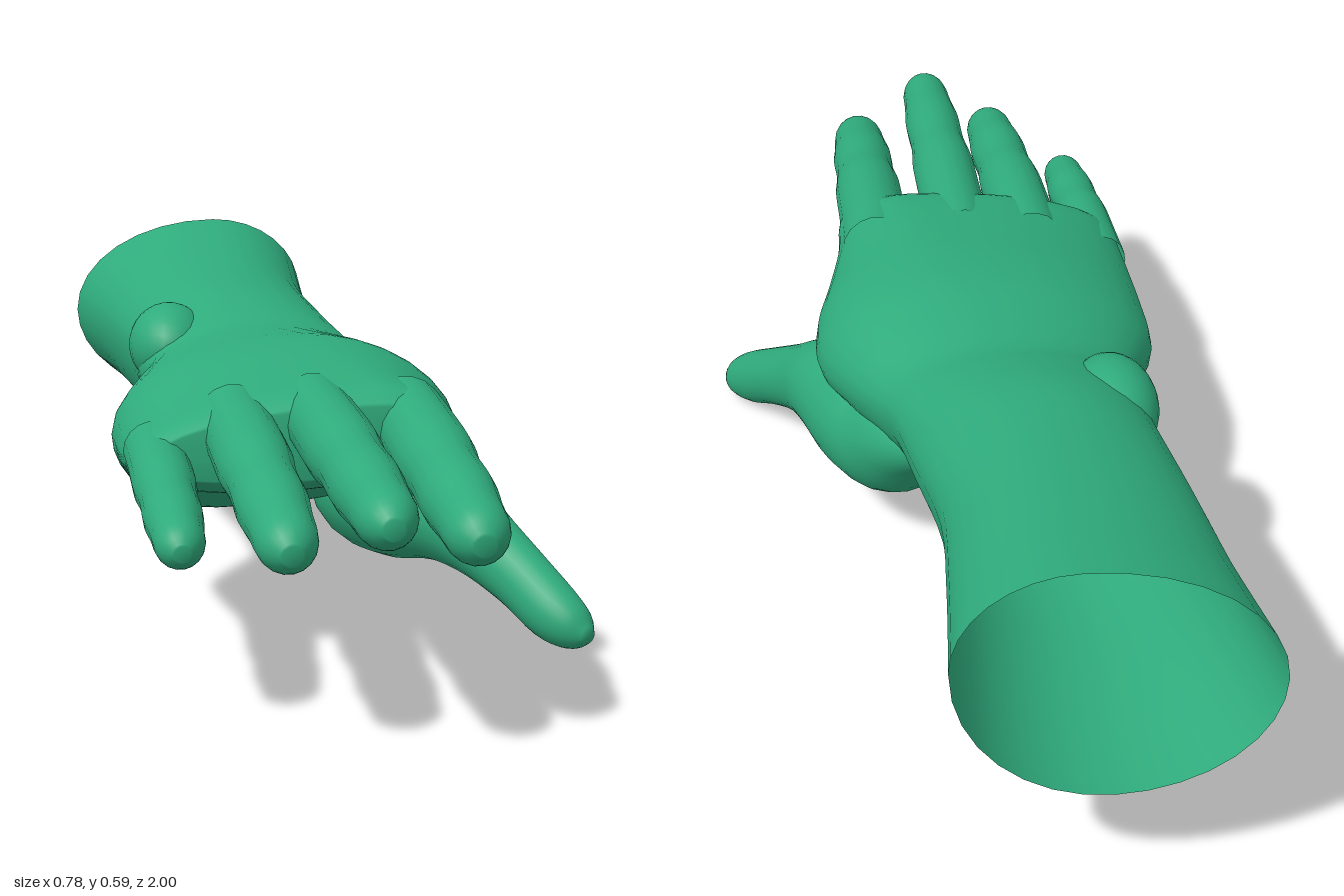
import * as THREE from 'three';

const skin = new THREE.MeshStandardMaterial({ color: 0x2fab7c, side: THREE.DoubleSide });
skin.name = 'green skin';

// Smoothly interpolate rows of section values (Catmull-Rom per column)
function resample(rows, steps) {
  const out = [];
  const at = i => rows[Math.min(Math.max(i, 0), rows.length - 1)];
  for (let i = 0; i < rows.length - 1; i++) {
    for (let s = 0; s < steps; s++) {
      const t = s / steps;
      out.push(at(i).map((b, k) => {
        const a = at(i - 1)[k], c = at(i + 1)[k], d = at(i + 2)[k];
        return b + 0.5 * t * (c - a + t * (2 * a - 5 * b + 4 * c - d + t * (3 * (b - c) + d - a)));
      }));
    }
  }
  out.push(rows[rows.length - 1]);
  return out;
}

// Skin a list of rings (arrays of Vector3); the last ring is closed, the first stays open
function loft(name, rings) {
  const n = rings[0].length, pos = [], index = [];
  rings.forEach(ring => ring.forEach(p => pos.push(p.x, p.y, p.z)));
  for (let i = 0; i < rings.length - 1; i++) {
    for (let j = 0; j < n; j++) {
      const a = i * n + j, b = i * n + (j + 1) % n;
      index.push(a, b, b + n, a, b + n, a + n);
    }
  }
  const last = rings[rings.length - 1], tip = new THREE.Vector3();
  last.forEach(p => tip.addScaledVector(p, 1 / n));
  pos.push(tip.x, tip.y, tip.z);
  const base = (rings.length - 1) * n;
  for (let j = 0; j < n; j++) index.push(base + j, base + (j + 1) % n, rings.length * n);
  const geo = new THREE.BufferGeometry();
  geo.setAttribute('position', new THREE.Float32BufferAttribute(pos, 3));
  geo.setIndex(index);
  geo.computeVertexNormals();
  const mesh = new THREE.Mesh(geo, skin);
  mesh.name = name;
  return mesh;
}

// Ring through four extreme points, joined by quarter ellipses
function bodyRing([z, xl, yl, xt, yt, xr, yr, xb, yb]) {
  const ring = [], n = 32;
  for (let j = 0; j < n; j++) {
    const a = j / n * Math.PI * 2, c = Math.cos(a), s = Math.sin(a);
    const mx = s >= 0 ? xt : xb, my = c >= 0 ? yr : yl;
    const x = mx + c * (c >= 0 ? xr - mx : mx - xl);
    const y = my + s * (s >= 0 ? yt - my : my - yb);
    // the open end of the arm is cut at a slant
    ring.push(new THREE.Vector3(x, y, z + Math.max(0, -z - 0.8) * 0.2 * (y - yb) / (yt - yb)));
  }
  return ring;
}

// Elliptical limb along a path; rows are x, y, z, half width, half height
function limb(name, rows, n = 18) {
  const sections = resample(rows, 4);
  const centre = sections.map(r => new THREE.Vector3(r[0], r[1], r[2]));
  const up = new THREE.Vector3(0, 1, 0);
  return loft(name, sections.map((r, i) => {
    const t = centre[Math.min(i + 1, centre.length - 1)].clone()
      .sub(centre[Math.max(i - 1, 0)]).normalize();
    const side = up.clone().cross(t).normalize(), top = t.clone().cross(side);
    return Array.from({ length: n }, (_, j) => {
      const a = j / n * Math.PI * 2;
      return centre[i].clone()
        .addScaledVector(side, Math.cos(a) * r[3])
        .addScaledVector(top, Math.sin(a) * r[4]);
    });
  }));
}

// Forearm, wrist and palm: z, then left, top, right and bottom extremes (x, y)
const body = [
  [-1.00, -0.39, 0.41, -0.10, 0.600, 0.085, 0.45, -0.15, 0.23],
  [-0.80, -0.36, 0.41, -0.10, 0.575, 0.070, 0.44, -0.15, 0.235],
  [-0.60, -0.335, 0.41, -0.11, 0.550, 0.060, 0.42, -0.15, 0.23],
  [-0.40, -0.31, 0.40, -0.12, 0.525, 0.085, 0.39, -0.13, 0.225],
  [-0.28, -0.305, 0.39, -0.10, 0.495, 0.105, 0.38, -0.12, 0.22],
  [-0.20, -0.295, 0.38, -0.08, 0.475, 0.130, 0.36, -0.12, 0.21],
  [-0.10, -0.335, 0.35, -0.05, 0.475, 0.180, 0.34, -0.15, 0.20],
  [0.00, -0.37, 0.32, -0.03, 0.480, 0.215, 0.32, -0.20, 0.187],
  [0.10, -0.372, 0.32, -0.02, 0.475, 0.215, 0.32, -0.20, 0.20],
  [0.20, -0.37, 0.32, 0.00, 0.465, 0.190, 0.33, -0.20, 0.23],
  [0.30, -0.365, 0.325, 0.02, 0.455, 0.165, 0.355, -0.18, 0.265],
  [0.37, -0.36, 0.33, 0.03, 0.445, 0.158, 0.38, -0.16, 0.28],
  [0.41, -0.34, 0.33, 0.03, 0.420, 0.140, 0.38, -0.14, 0.305],
];

// Thumb, starting as the muscle at the heel of the palm
const thumb = [
  [0.04, 0.30, -0.24, 0.03, 0.03],
  [0.07, 0.27, -0.16, 0.075, 0.07],
  [0.09, 0.215, -0.06, 0.11, 0.11],
  [0.13, 0.20, 0.04, 0.115, 0.11],
  [0.185, 0.19, 0.13, 0.09, 0.09],
  [0.235, 0.155, 0.21, 0.063, 0.066],
  [0.285, 0.11, 0.29, 0.05, 0.055],
  [0.327, 0.065, 0.36, 0.046, 0.05],
  [0.357, 0.043, 0.398, 0.034, 0.036],
  [0.372, 0.036, 0.42, 0.012, 0.012],
];

// Fingers: name, base x, y, tip x, y, z, radius
const fingers = [
  ['littleFinger', -0.318, 0.335, -0.313, 0.275, 0.76, 0.050],
  ['ringFinger', -0.190, 0.382, -0.177, 0.305, 0.92, 0.060],
  ['middleFinger', -0.060, 0.397, -0.052, 0.355, 1.00, 0.060],
  ['indexFinger', 0.092, 0.385, 0.093, 0.305, 0.90, 0.064],
];
// Position along a finger and relative thickness, swelling at the joints
const fingerProfile = [[0, 1], [0.2, 0.98], [0.42, 0.98], [0.55, 0.88], [0.7, 0.9],
  [0.82, 0.8], [0.92, 0.74], [0.97, 0.55], [1, 0.25]];

export function createModel() {
  const hand = new THREE.Group();
  hand.name = 'hand';
  hand.add(loft('forearmAndPalm', resample(body, 4).map(bodyRing)));
  hand.add(limb('thumb', thumb, 24));

  for (const [name, x0, y0, x1, y1, z1, r] of fingers) {
    hand.add(limb(name, fingerProfile.map(([t, w]) => [
      x0 + (x1 - x0) * t,
      y0 + (y1 - y0) * Math.pow(t, 1.3),
      0.28 + (z1 - 0.28) * t,
      r * w, r * w,
    ])));
  }

  // Wrist bone on the little-finger side
  const bone = new THREE.Mesh(new THREE.SphereGeometry(1, 24, 16), skin);
  bone.name = 'wristBone';
  bone.scale.set(0.075, 0.078, 0.11);
  bone.position.set(-0.245, 0.423, -0.32);
  hand.add(bone);
  return hand;
}
